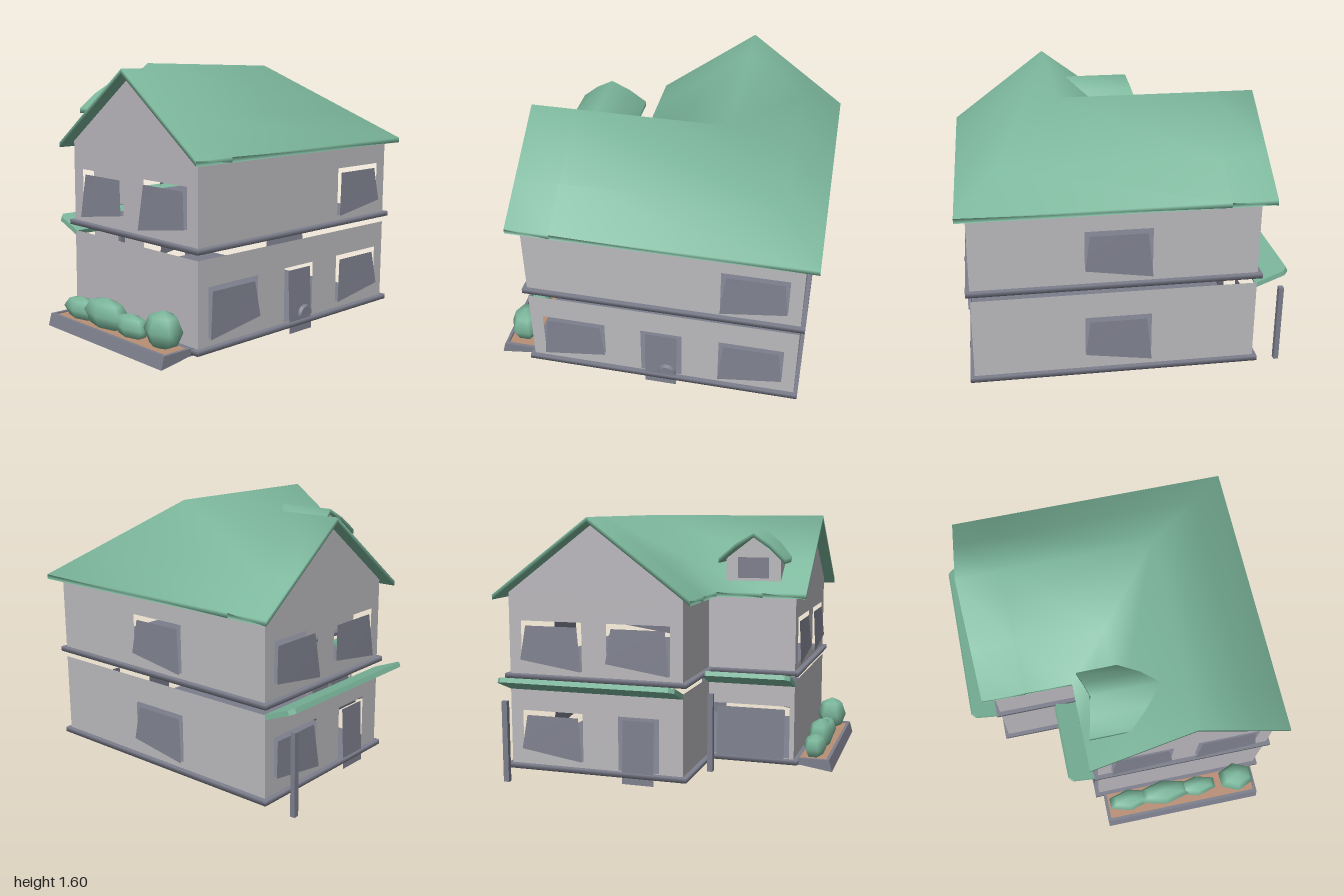
import * as THREE from 'three';

const mat = (name, color, side = THREE.FrontSide) => {
  const m = new THREE.MeshStandardMaterial({ color, side });
  m.name = name;
  return m;
};

// Smooth skin through matching rings of [x, y, z] points, closed at both ends
function loft(rings) {
  const n = rings[0].length, index = [];
  for (let i = 0; i < rings.length - 1; i++) {
    for (let j = 0; j < n; j++) {
      const a = i * n + j, b = i * n + (j + 1) % n;
      index.push(a, b, b + n, a, b + n, a + n);
    }
  }
  const top = (rings.length - 1) * n;
  for (let k = 0; k < n / 2 - 1; k++) {
    const m = n - 1 - k;
    index.push(k, m, k + 1, k + 1, m, m - 1);
    index.push(top + k, top + k + 1, top + m, top + k + 1, top + m - 1, top + m);
  }
  const g = new THREE.BufferGeometry();
  g.setAttribute('position', new THREE.Float32BufferAttribute(rings.flat(2), 3));
  g.setIndex(index);
  g.computeVertexNormals();
  return g;
}

const polygon = (pts) => pts.map(([x, y]) => new THREE.Vector2(x, y));

export function createModel() {
  const house = new THREE.Group();
  house.name = 'house';
  const wallMat = mat('wall grey', 0xbab8bc);
  const roofMat = mat('roof green', 0x7cb79c);
  const trimMat = mat('slate grey', 0x7c7e8c, THREE.DoubleSide);
  const soilMat = mat('soil brown', 0xb98e75);

  const add = (name, geometry, material, parent = house) => {
    const mesh = new THREE.Mesh(geometry, material);
    mesh.name = name;
    parent.add(mesh);
    return mesh;
  };

  // Floor slabs: L-shaped bowls that sag in the middle
  const outline = (o, y) => [
    [-0.76 - o, y, 0.92 + o], [0.92 + o, y, 0.92 + o], [0.92 + o, y, -0.78 - o],
    [-0.2 - o, y, -0.78 - o], [-0.2 - o, y, -0.22 - o], [-0.76 - o, y, -0.22 - o],
  ];
  const sag = (y) => [[-0.25, y, 0.45], [0.42, y, 0.45], [0.42, y, -0.25],
    [0, y, -0.25], [0, y, 0], [-0.25, y, 0]];
  for (const [name, y] of [['groundSlab', 0], ['upperFloorSlab', 0.57]]) {
    add(name, loft([sag(y), outline(0.025, y + 0.04), outline(0.025, y + 0.07)]), trimMat);
  }

  // Openings: a hole in the wall and a pane that leans out at the bottom
  const windowAt = (c, top, low) => ({
    name: 'window',
    hole: [[c - 0.2, top], [c + 0.2, top],
      [c + 0.2, top - (low > 0 ? 0.3 : 0.24)], [c - 0.2, top - (low > 0 ? 0.24 : 0.3)]],
    pane: [[c - 0.17, top - 0.03], [c + 0.17, top - 0.03],
      [c + 0.2, top - (low > 0 ? 0.3 : 0.24)], [c - 0.2, top - (low > 0 ? 0.24 : 0.3)]],
  });
  const doorAt = (c, w, bottom) => ({
    name: 'door',
    hole: [[c - w - 0.03, 0.41], [c + w + 0.03, 0.41], [c + w + 0.03, 0.075], [c - w - 0.03, 0.075]],
    pane: [[c - w, 0.39], [c + w, 0.39], [c + w, bottom], [c - w, bottom]],
  });

  // One side of the house: lower and upper wall, with an optional gable
  function side(name, turn, depth, u0, u1, lower, upper, peak) {
    const group = new THREE.Group();
    group.name = name;
    group.rotation.y = turn;
    house.add(group);
    const roofLine = peak === undefined ? [] : [[peak, 1.56]];
    const storeys = [
      ['lowerWall', [[u0, 0.07], [u1, 0.07], [u1, 0.57], [u0, 0.57]], lower],
      ['upperWall', [[u0, 0.64], [u1, 0.64], [u1, 1.14], ...roofLine, [u0, 1.14]], upper],
    ];
    for (const [wallName, pts, openings] of storeys) {
      const shape = new THREE.Shape(polygon(pts));
      for (const o of openings) shape.holes.push(new THREE.Path(polygon(o.hole)));
      add(wallName, new THREE.ShapeGeometry(shape), wallMat, group).position.z = depth;
      for (const o of openings) {
        const pane = new THREE.ShapeGeometry(new THREE.Shape(polygon(o.pane)));
        const p = pane.attributes.position, top = o.pane[0][1];
        for (let i = 0; i < p.count; i++) p.setZ(i, p.getY(i) < top - 0.1 ? 0.022 : 0.004);
        pane.computeVertexNormals();
        add(o.name, pane, trimMat, group).position.z = depth;
      }
    }
  }
  const lo = 0.41, hi = 0.97, q = Math.PI / 2;
  side('frontSide', 0, 0.92, -0.76, 0.92,
    [windowAt(-0.48, lo, -1), doorAt(0.08, 0.1, 0), windowAt(0.64, lo, -1)], [windowAt(0.64, hi, -1)]);
  side('leftSide', q, 0.92, -0.92, 0.78, [windowAt(-0.055, lo, 1)], [windowAt(-0.055, hi, 1)]);
  side('backWingEnd', 2 * q, 0.78, -0.92, 0.2,
    [windowAt(-0.64, lo, 1), doorAt(-0.08, 0.1, 0)],
    [windowAt(-0.64, hi, 1), windowAt(-0.08, hi, 1)], -0.36);
  side('backWingInnerSide', -q, 0.2, -0.78, -0.22, [], []);
  side('sideWingBack', 2 * q, 0.22, 0.2, 0.76, [doorAt(0.48, 0.22, 0.06)], []);
  side('sideWingEnd', -q, 0.76, -0.22, 0.92, [],
    [windowAt(0.07, hi, -1), windowAt(0.63, hi, -1)], 0.35);

  // Small rounded hood in front of the door
  const hood = new THREE.CylinderGeometry(0.05, 0.06, 0.02, 8, 1, false, 0, Math.PI);
  hood.rotateX(q).rotateZ(q).translate(0.12, 0.1, 0.945);
  add('doorstepHood', hood, trimMat);

  // Main roof: a chevron section carried along the L
  const steps = [-1, -0.6, 0, 0.6, 1], half = 0.63;
  const section = (place) => {
    const edge = (drop) => steps.map((t) => {
      const [x, z] = place(t * half);
      return [x, 1.6 - 0.47 * Math.abs(t) - drop, z];
    });
    return [...edge(0), ...edge(0.03).reverse()];
  };
  add('mainRoof', loft([
    section((s) => [-0.83, 0.35 + s]),
    section((s) => [-0.56, 0.35 + s]),
    section((s) => [0.365 + s, 0.35 + s]),
    section((s) => [0.365 + s, -0.58]),
    section((s) => [0.365 + s, -0.85]),
  ]), roofMat);

  // Dormer on the back slope of the side wing
  const dormer = (z, zRidge) => {
    const top = [[-0.69, 1.34, z], [-0.59, 1.43, (z + zRidge) / 2], [-0.48, 1.5, zRidge],
      [-0.37, 1.43, (z + zRidge) / 2], [-0.27, 1.34, z]];
    return [...top, ...top.map(([x, y, w]) => [x, y - 0.03, w]).reverse()];
  };
  add('dormerRoof', loft([dormer(-0.25, -0.2), dormer(0.03, 0.23)].reverse()), roofMat);
  const dormerFront = new THREE.ShapeGeometry(new THREE.Shape(polygon(
    [[0.31, 1.16], [0.65, 1.16], [0.65, 1.34], [0.48, 1.47], [0.31, 1.34]])));
  add('dormerFront', dormerFront.rotateY(Math.PI).translate(0, 0, -0.19), wallMat);
  const dormerPane = new THREE.PlaneGeometry(0.2, 0.13).rotateY(Math.PI).translate(-0.48, 1.28, -0.195);
  add('dormerWindow', dormerPane, trimMat);
  for (const x of [-0.65, -0.31]) {
    const cheek = new THREE.BoxGeometry(0.01, 0.17, 0.24).translate(x, 1.25, -0.07);
    add('dormerCheek', cheek, wallMat);
  }

  // Awnings with a chamfered outer edge and one post each
  for (const [x0, x1, z, postX] of [[-0.2, 0.92, -0.78, 0.87], [-0.76, -0.2, -0.22, -0.26]]) {
    const s = new THREE.Shape(polygon([[x0, 0], [x1, 0], [x1, 0.18], [x1 - 0.03, 0.21],
      [x0 + 0.03, 0.21], [x0, 0.18]]));
    const awning = new THREE.ExtrudeGeometry(s, { depth: 0.03, bevelEnabled: false });
    awning.rotateX(-q + 0.38);
    add('awning', awning, roofMat).position.set(0, 0.54, z);
    add('awningPost', new THREE.BoxGeometry(0.035, 0.5, 0.03).translate(postX, 0.25, z - 0.17), trimMat);
  }

  // Planter with soil and bushes
  const trough = new THREE.Shape(polygon([[-1, 0], [-0.8, 0.03], [-0.76, 0.07], [-0.8, 0.055],
    [-0.955, 0.045], [-0.96, 0.075], [-0.98, 0.075]]));
  add('planter', new THREE.ExtrudeGeometry(trough, { depth: 1.08, bevelEnabled: false })
    .translate(0, 0, -0.19), trimMat);
  for (const z of [-0.19, 0.87]) {
    add('planterEnd', new THREE.BoxGeometry(0.2, 0.045, 0.02).translate(-0.87, 0.052, z + 0.01), trimMat);
  }
  add('soil', new THREE.BoxGeometry(0.19, 0.01, 1.04).translate(-0.865, 0.06, 0.35), soilMat);
  const bushes = [[0.75, 0.1, 0.115, 0.13, 0.165], [-0.02, 0.075, 0.075, 0.16, 0.12],
    [0.23, 0.085, 0.1, 0.2, 0.14], [0.47, 0.07, 0.075, 0.15, 0.12]];
  for (const [z, rx, ry, rz, y] of bushes) {
    const bush = new THREE.SphereGeometry(1, 6, 4).scale(rx, ry, rz);
    add('bush', bush, roofMat).position.set(-0.865, y, z);
  }
  return house;
}
